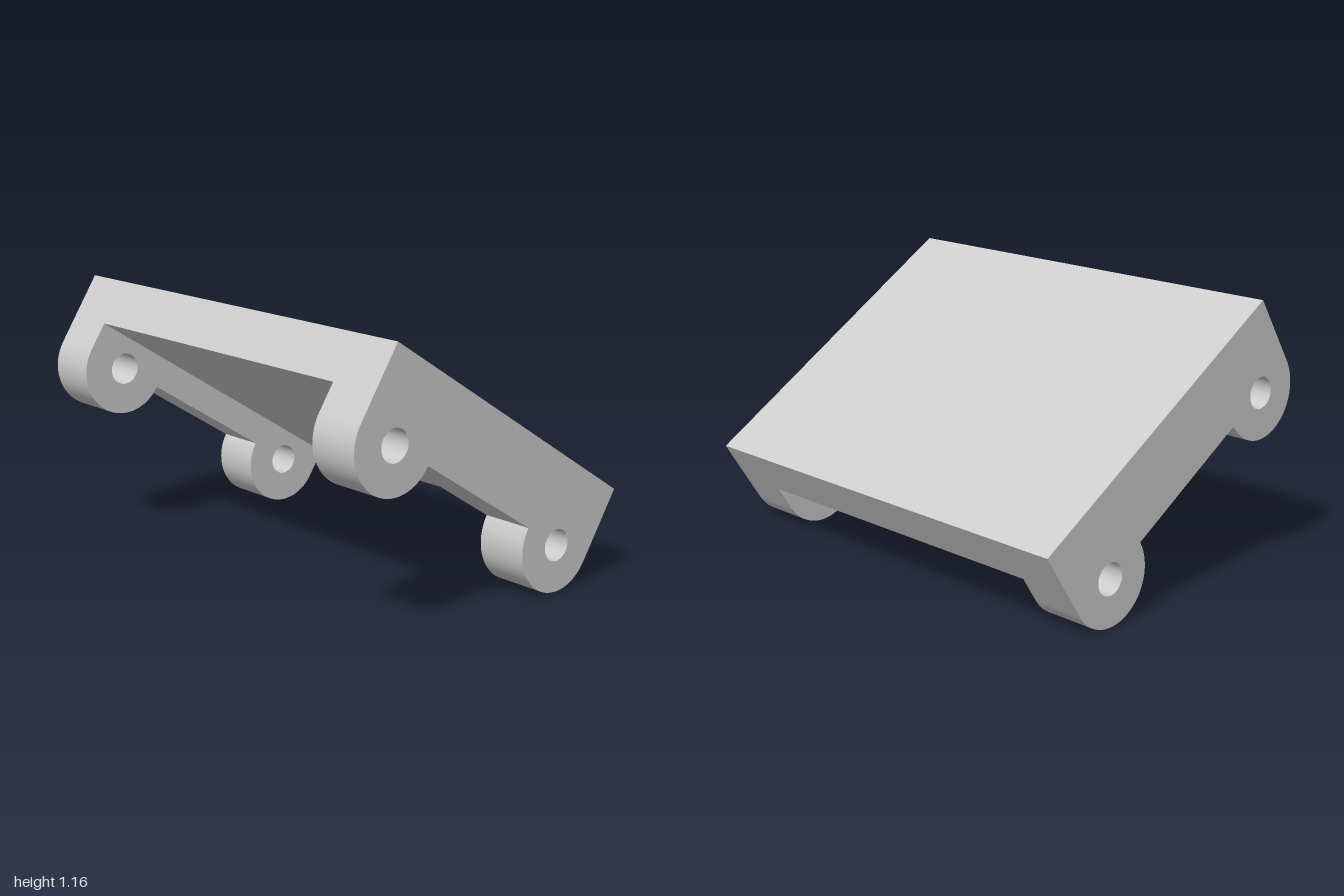
import * as THREE from 'three';

const HALF_LEN = 0.7315;  // half the plate length along the slope
const PLATE_T = 0.205;    // plate thickness
const AXIS_Y = -0.333;    // depth of the pin holes below the top face
const LUG_R = 0.2;
const HOLE_R = 0.068;
const RAIL_W = 0.233;
const TILT = 0.566;

// Side profile of a rail: a straight bar ending in two rounded lugs with holes
function railGeometry() {
  const c = HALF_LEN - LUG_R;
  const shape = new THREE.Shape();
  shape.moveTo(HALF_LEN, -PLATE_T);
  shape.lineTo(-HALF_LEN, -PLATE_T);
  shape.lineTo(-HALF_LEN, AXIS_Y);
  for (const x of [-c, c]) {
    shape.absarc(x, AXIS_Y, LUG_R, Math.PI, Math.PI * 2, false);
    const hole = new THREE.Path();
    hole.absarc(x, AXIS_Y, HOLE_R, 0, Math.PI * 2, true);
    shape.holes.push(hole);
  }
  shape.closePath();
  const geo = new THREE.ExtrudeGeometry(shape, { depth: RAIL_W, bevelEnabled: false, curveSegments: 32 });
  geo.translate(0, 0, -RAIL_W / 2);
  geo.rotateY(-Math.PI / 2); // profile runs along z, thickness along x
  return geo;
}

export function createModel() {
  const model = new THREE.Group();
  model.name = 'hingeBracket';
  const material = new THREE.MeshStandardMaterial({ color: 0xcccccc });

  // Everything is built level, with the top face at y = 0, then tilted
  const bracket = new THREE.Group();
  bracket.name = 'tiltedBracket';
  bracket.rotation.x = -TILT;
  bracket.position.set(0, 0.77, -0.1025);
  model.add(bracket);

  // Full-width plate
  const plate = new THREE.Mesh(new THREE.BoxGeometry(2, PLATE_T, HALF_LEN * 2), material);
  plate.name = 'plate';
  plate.position.y = -PLATE_T / 2;
  bracket.add(plate);

  // Lugged rails under both sides
  const geo = railGeometry();
  for (const side of [-1, 1]) {
    const rail = new THREE.Mesh(geo, material);
    rail.name = side > 0 ? 'leftLugRail' : 'rightLugRail';
    rail.position.x = side * (1 - RAIL_W / 2);
    bracket.add(rail);
  }
  return model;
}
